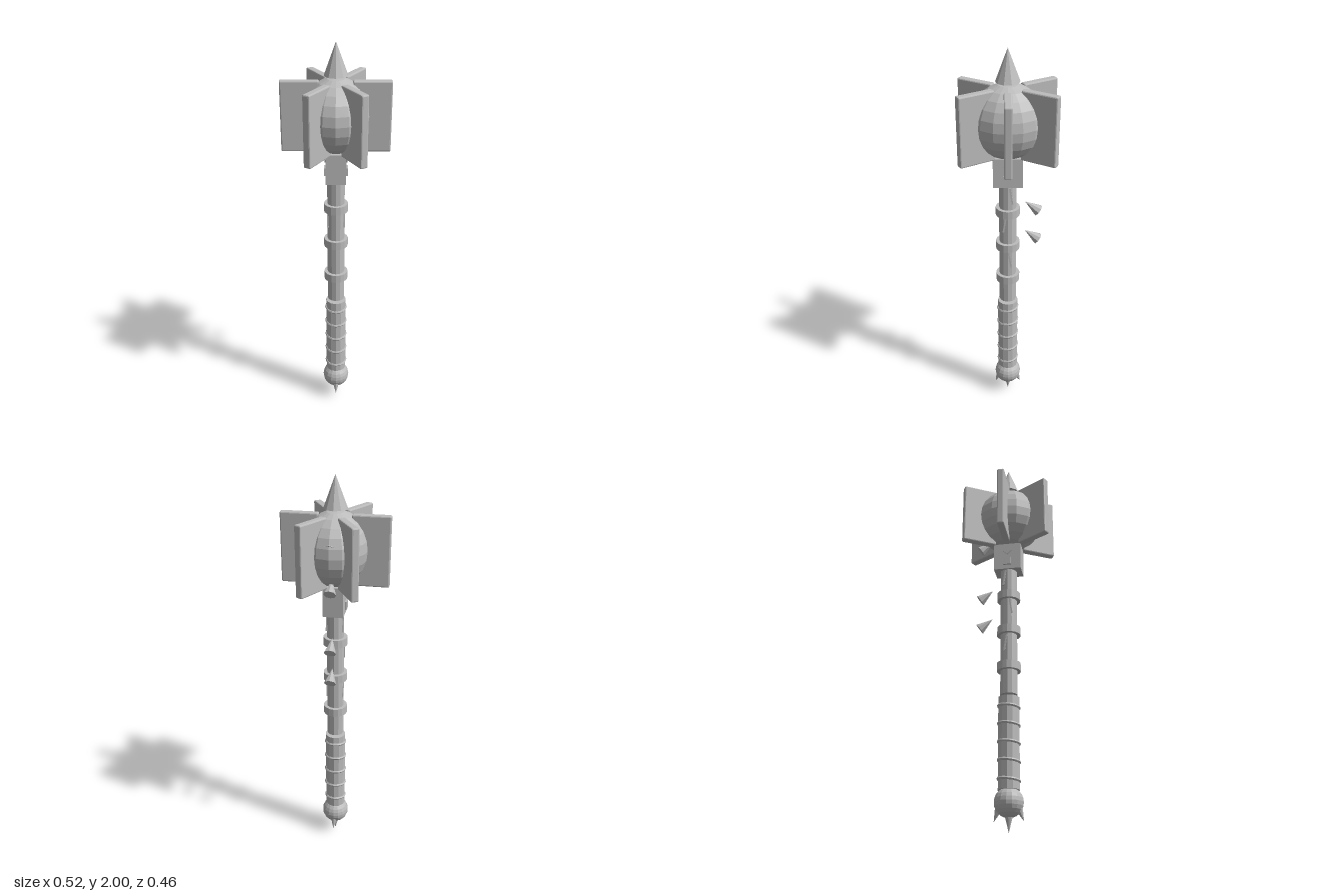
import * as THREE from 'three';
import { RoundedBoxGeometry } from 'three/addons/geometries/RoundedBoxGeometry.js';

export function createModel() {
  const model = new THREE.Group();
  model.name = 'flangedMace';
  const steel = new THREE.MeshStandardMaterial({ color: 0xbcbcbc });
  steel.name = 'greySteel';

  // Facet a geometry, then add it as a named mesh
  function add(name, geometry, x = 0, y = 0, z = 0, parent = model) {
    const flat = geometry.index ? geometry.toNonIndexed() : geometry;
    flat.computeVertexNormals();
    const mesh = new THREE.Mesh(flat, steel);
    mesh.name = name;
    mesh.position.set(x, y, z);
    parent.add(mesh);
    return mesh;
  }

  // Cone running from the centre of its base to its tip
  function spike(name, base, tip, radius, sides) {
    const from = new THREE.Vector3(...base), to = new THREE.Vector3(...tip);
    const axis = to.clone().sub(from);
    const mid = from.add(to).multiplyScalar(0.5);
    const mesh = add(name, new THREE.ConeGeometry(radius, axis.length(), sides), mid.x, mid.y, mid.z);
    mesh.quaternion.setFromUnitVectors(new THREE.Vector3(0, 1, 0), axis.normalize());
    return mesh;
  }

  // Head: egg-shaped core with a separate top spike
  add('headCore', new THREE.SphereGeometry(1, 16, 12).scale(0.157, 0.18, 0.177), 0, 1.66, 0);
  spike('topSpike', [0, 1.848, 0], [0, 2, 0], 0.057, 10);

  // Six radial flanges
  for (let i = 0; i < 6; i++) {
    const arm = new THREE.Group();
    arm.name = 'flange' + (i + 1);
    arm.rotation.y = i * Math.PI / 3;
    add('flangeBlade', new RoundedBoxGeometry(0.18, 0.338, 0.037, 1, 0.006), 0.168, 1.656, 0, arm);
    model.add(arm);
  }

  // Collar block with a diamond and a square stud on each side
  add('collar', new THREE.BoxGeometry(0.098, 0.15, 0.142), 0, 1.415, 0);
  for (const side of [-1, 1]) {
    add('diamondStud', new THREE.BoxGeometry(0.016, 0.032, 0.032), side * 0.047, 1.447, 0)
      .rotation.x = Math.PI / 4;
    add('squareStud', new THREE.BoxGeometry(0.022, 0.04, 0.04), side * 0.047, 1.383, 0);
  }

  // Shaft with three bands
  add('shaft', new THREE.CylinderGeometry(0.043, 0.043, 0.725, 12), 0, 1.0175, 0);
  for (const y of [0.8, 0.995, 1.19])
    add('shaftBand', new THREE.CylinderGeometry(0.06, 0.06, 0.042, 16), 0, y, 0);

  // Thin slanted inlays along both sides of the shaft
  for (const side of [-1, 1])
    [[1.29, -0.016], [1.13, 0.016], [0.92, -0.01]].forEach(([y, z], i) => {
      add('shaftInlay', new THREE.BoxGeometry(0.008, 0.09, 0.008), side * 0.04, y, z)
        .rotation.x = i % 2 ? -0.15 : 0.15;
    });

  // Grip with slightly tilted wraps
  add('grip', new THREE.CylinderGeometry(0.052, 0.052, 0.45, 12), 0, 0.417, 0);
  for (let i = 0; i < 5; i++)
    add('gripWrap', new THREE.TorusGeometry(0.05, 0.008, 6, 16).rotateX(Math.PI / 2),
      0, 0.24 + i * 0.0885, 0).rotation.x = 0.12;

  // Pommel with three claws pointing down
  add('pommel', new THREE.SphereGeometry(0.07, 16, 12), 0, 0.137, 0);
  spike('pommelSpike', [0, 0.08, 0], [0, 0, 0], 0.02, 8);
  for (const side of [-1, 1])
    spike('pommelClaw', [0, 0.115, side * 0.045], [0, 0.05, side * 0.07], 0.02, 8);

  // Row of back barbs, tips turned up towards the shaft
  for (const y of [1.024, 1.188, 1.487, 1.7])
    spike('backBarb', [0, y, -0.151], [0, y + 0.05, -0.085], 0.03, 8);

  return model;
}
